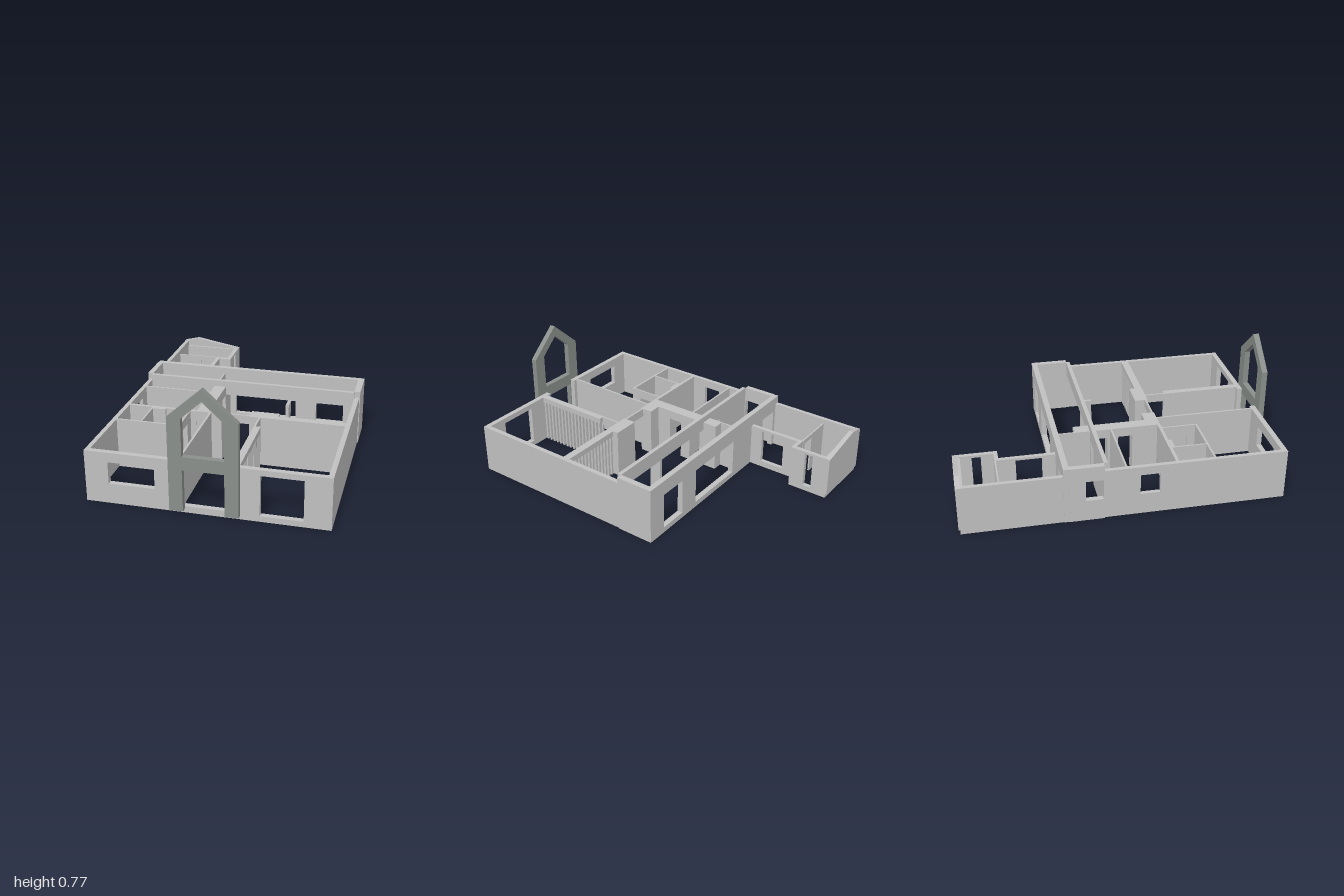
import * as THREE from 'three';

export function createModel() {
  const model = new THREE.Group();
  model.name = 'houseShell';
  const plaster = new THREE.MeshStandardMaterial({ color: 0xc0c0c0 });
  plaster.name = 'lightGreyPlaster';
  const stone = new THREE.MeshStandardMaterial({ color: 0x8a8f8b });
  stone.name = 'darkGreyStone';

  // Box given by its limits on each axis
  function box(name, x0, x1, y0, y1, z0, z1, parent = model) {
    const mesh = new THREE.Mesh(new THREE.BoxGeometry(x1 - x0, y1 - y0, z1 - z0), plaster);
    mesh.position.set((x0 + x1) / 2, (y0 + y1) / 2, (z0 + z1) / 2);
    mesh.name = name;
    parent.add(mesh);
  }

  // Straight wall along 'x' or 'z'; openings are [from, to, bottom, top], in order
  function wall(name, axis, from, to, c0, c1, h, openings = []) {
    const group = new THREE.Group();
    group.name = name;
    const piece = (a, b, y0, y1) => {
      if (b - a < 0.001 || y1 - y0 < 0.001) return;
      if (axis === 'x') box(name + 'Piece', a, b, y0, y1, c0, c1, group);
      else box(name + 'Piece', c0, c1, y0, y1, a, b, group);
    };
    let at = from;
    for (const [a, b, y0, y1] of openings) {
      piece(at, a, 0, h);
      piece(a, b, 0, y0);
      piece(a, b, y1, h);
      at = b;
    }
    piece(at, to, 0, h);
    model.add(group);
  }

  // Extruded outline in the xy plane, from z0 to z1
  function slab(name, points, holes, z0, z1, material) {
    const toVectors = (list) => list.map(([x, y]) => new THREE.Vector2(x, y));
    const shape = new THREE.Shape(toVectors(points));
    for (const hole of holes) shape.holes.push(new THREE.Path(toVectors(hole)));
    const geometry = new THREE.ExtrudeGeometry(shape, { depth: z1 - z0, bevelEnabled: false });
    geometry.translate(0, 0, z0);
    const mesh = new THREE.Mesh(geometry, material);
    mesh.name = name;
    model.add(mesh);
  }

  const H = 0.32, HIGH = 0.36;

  // Outer walls of the main block
  wall('frontWall', 'x', -0.71, 0.71, 0.93, 0.963, H, [
    [-0.57, -0.295, 0.125, 0.26], [-0.125, 0.12, 0.04, H], [0.31, 0.555, 0.035, 0.285]]);
  wall('leftWall', 'z', -0.15, 0.93, 0.68, 0.71, H);
  wall('rightWall', 'z', -0.15, 0.93, -0.71, -0.683, H, [[0.065, 0.185, 0.135, 0.265]]);

  // Taller rear strip
  wall('rearWall', 'x', -0.715, 0.715, -0.39, -0.355, HIGH, [
    [-0.66, -0.52, 0, 0.26], [-0.16, 0.26, 0.035, 0.265], [0.4, 0.585, 0.035, 0.265]]);
  wall('rearLeftWall', 'z', -0.355, -0.15, 0.677, 0.715, HIGH);
  wall('rearRightWall', 'z', -0.355, -0.15, -0.718, -0.683, HIGH, [[-0.26, -0.155, 0.135, 0.265]]);
  wall('rearCrossWall', 'x', -0.683, -0.245, -0.15, -0.125, HIGH, [[-0.36, -0.27, 0, 0.26]]);
  box('rearBeam', -0.245, 0.68, 0.265, HIGH, -0.15, -0.125);
  box('beamPier', 0.25, 0.27, 0, 0.265, -0.125, -0.05);

  // Central spine and piers
  wall('rearPartition', 'z', -0.355, -0.245, -0.245, -0.235, H);
  wall('spineWall', 'z', -0.245, 0.28, -0.245, -0.17, H, [[-0.12, -0.04, 0, 0.26], [0.03, 0.12, 0, 0.26]]);
  box('rightPier', -0.245, -0.085, 0, H, 0.215, 0.298);
  box('leftPier', 0.09, 0.265, 0, H, 0.215, 0.3);
  box('hallLintel', -0.085, 0.09, 0.265, H, 0.28, 0.292);

  // Rooms on the right
  wall('sideRoomWall', 'x', -0.683, -0.245, -0.022, -0.01, H);
  wall('middleWall', 'x', -0.683, -0.245, 0.28, 0.3, H);
  wall('closetFrontWall', 'x', -0.683, -0.283, 0.512, 0.525, H);
  wall('closetSideWall', 'z', 0.3, 0.512, -0.293, -0.283, H, [[0.37, 0.46, 0, 0.26]]);
  wall('closetDivider', 'z', 0.3, 0.512, -0.533, -0.523, H);
  box('closetDuct', -0.523, -0.44, 0, H, 0.3, 0.318);

  // Entrance hall
  wall('hallRightWall', 'z', 0.298, 0.93, -0.163, -0.15, H);
  wall('hallLeftWall', 'z', 0.3, 0.93, 0.15, 0.162, H, [[0.31, 0.425, 0, 0.265]]);

  // Slatted screens, each hung from a top rail
  box('hallScreenRail', 0.162, 0.192, 0.285, H, 0.425, 0.93);
  for (let i = 0; i < 17; i++) {
    const z = 0.43 + i * 0.03;
    box('hallScreenSlat', 0.166, 0.19, 0, 0.285, z, z + 0.014);
  }
  box('livingScreenRail', 0.265, 0.68, 0.285, H, 0.252, 0.3);
  box('livingScreenBack', 0.265, 0.68, 0, 0.285, 0.286, 0.3);
  for (let i = 0; i < 14; i++) {
    const x = 0.272 + i * 0.03;
    box('livingScreenSlat', x, x + 0.014, 0, 0.285, 0.256, 0.286);
  }

  // Rear annex
  wall('annexRightWall', 'z', -0.99, -0.39, -0.712, -0.685, 0.31);
  wall('annexInnerWall', 'z', -0.73, -0.39, -0.407, -0.38, 0.28, [[-0.63, -0.47, 0.04, 0.265]]);
  box('annexStep', -0.407, -0.297, 0, 0.28, -0.755, -0.73);
  wall('annexLeftWall', 'z', -0.97, -0.755, -0.325, -0.297, 0.28, [[-0.885, -0.83, 0.035, 0.265]]);
  wall('annexPartition', 'x', -0.685, -0.407, -0.757, -0.747, 0.28, [[-0.52, -0.43, 0, 0.25]]);
  box('annexRearWall', -0.685, -0.297, 0, 0.275, -0.99, -0.955);
  slab('annexRearGable', [[-0.713, 0.03], [-0.297, 0.03], [-0.297, 0.28], [-0.61, 0.335], [-0.713, 0.31]],
    [], -1, -0.97, plaster);

  // Gabled entrance portal
  slab('entrancePortal', [
    [-0.2, 0.025], [-0.12, 0.025], [-0.12, 0.285], [0.12, 0.285], [0.12, 0.025], [0.2, 0.025],
    [0.2, 0.593], [0, 0.773], [-0.2, 0.593]],
  [[[-0.12, 0.365], [-0.12, 0.593], [0, 0.703], [0.12, 0.593], [0.12, 0.365]]], 0.964, 1, stone);

  return model;
}
